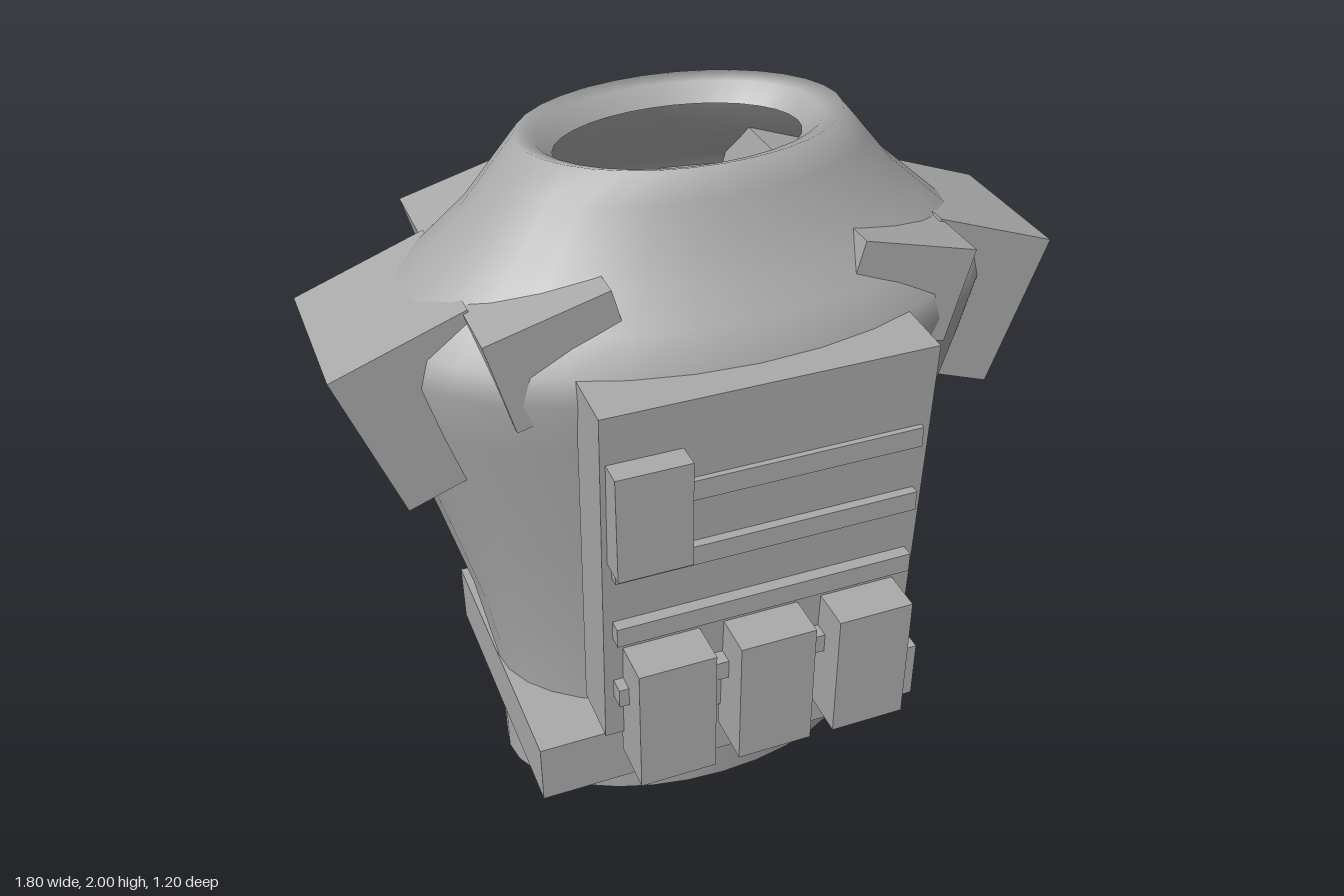
import * as THREE from 'three';

const grey = new THREE.MeshStandardMaterial({ color: 0xaaaaaa, side: THREE.DoubleSide });
grey.name = 'grey';

// Smooth skin through stacked ellipses: [y, half width, half depth, centre z], bottom to top
function loft(name, rings, sides = 32) {
  const pos = [], index = [];
  rings.forEach(([y, a, b, zc]) => {
    for (let i = 0; i < sides; i++) {
      const t = (i / sides) * Math.PI * 2;
      pos.push(a * Math.cos(t), y, zc + b * Math.sin(t));
    }
  });
  for (let r = 0; r < rings.length - 1; r++) {
    for (let i = 0; i < sides; i++) {
      const p = r * sides + i, q = r * sides + (i + 1) % sides;
      index.push(p, p + sides, q, q, p + sides, q + sides);
    }
  }
  const geo = new THREE.BufferGeometry();
  geo.setAttribute('position', new THREE.Float32BufferAttribute(pos, 3));
  geo.setIndex(index);
  geo.computeVertexNormals();
  const mesh = new THREE.Mesh(geo, grey);
  mesh.name = name;
  return mesh;
}

function box(name, size, at, rx = 0, rz = 0) {
  const mesh = new THREE.Mesh(new THREE.BoxGeometry(...size), grey);
  mesh.name = name;
  mesh.position.set(...at);
  mesh.rotation.set(rx, 0, rz);
  return mesh;
}

export function createModel() {
  const model = new THREE.Group();
  model.name = 'armouredVest';

  // Torso shell, rolled inwards at the open collar
  model.add(loft('torso', [
    [0.17, 0.53, 0.32, -0.04],
    [0.35, 0.53, 0.335, -0.04],
    [0.53, 0.538, 0.345, -0.04],
    [0.8, 0.585, 0.375, -0.04],
    [1.05, 0.65, 0.41, -0.04],
    [1.25, 0.705, 0.44, -0.04],
    [1.42, 0.755, 0.465, -0.04],
    [1.56, 0.785, 0.485, -0.035],
    [1.63, 0.765, 0.48, -0.035],
    [1.7, 0.685, 0.425, -0.035],
    [1.77, 0.605, 0.375, -0.035],
    [1.84, 0.525, 0.33, -0.035],
    [1.93, 0.45, 0.29, -0.035],
    [2.0, 0.39, 0.262, -0.035],
    [1.985, 0.345, 0.23, -0.04],
    [1.94, 0.3, 0.19, -0.05],
  ]));

  // Pointed underside with a sharp rim
  model.add(loft('underside', [
    [0, 0.002, 0.002, -0.04],
    [0.17, 0.53, 0.32, -0.04],
  ]));

  model.add(box('belt', [1.08, 0.175, 0.78], [0, 0.4375, -0.04]));

  // Tilted armour plates
  model.add(box('frontPlate', [0.806, 0.97, 0.15], [0, 1.138, 0.423], 0.046));
  model.add(box('backPlate', [0.806, 0.97, 0.15], [0, 1.17, -0.498], -0.046));

  // Webbing and pouches on the front plate
  for (const y of [0.812, 1.005, 1.195, 1.38]) {
    model.add(box('webbing', [0.76, 0.053, 0.06], [0, y, 0.495]));
  }
  for (const x of [-0.258, 0, 0.258]) {
    model.add(box('pouch', [0.195, 0.36, 0.135], [x, 0.758, 0.5325]));
  }
  model.add(box('radioPouch', [0.18, 0.28, 0.1], [-0.3, 1.355, 0.525]));

  // Shoulder straps and pads, mirrored
  for (const s of [-1, 1]) {
    model.add(box('shoulderStrap', [0.3, 0.24, 0.75], [s * 0.415, 1.65, -0.045], 0, -s * 0.262));
    model.add(box('shoulderPad', [0.34, 0.405, 0.4], [s * 0.671, 1.488, -0.02], 0, -s * 0.349));
  }
  return model;
}
